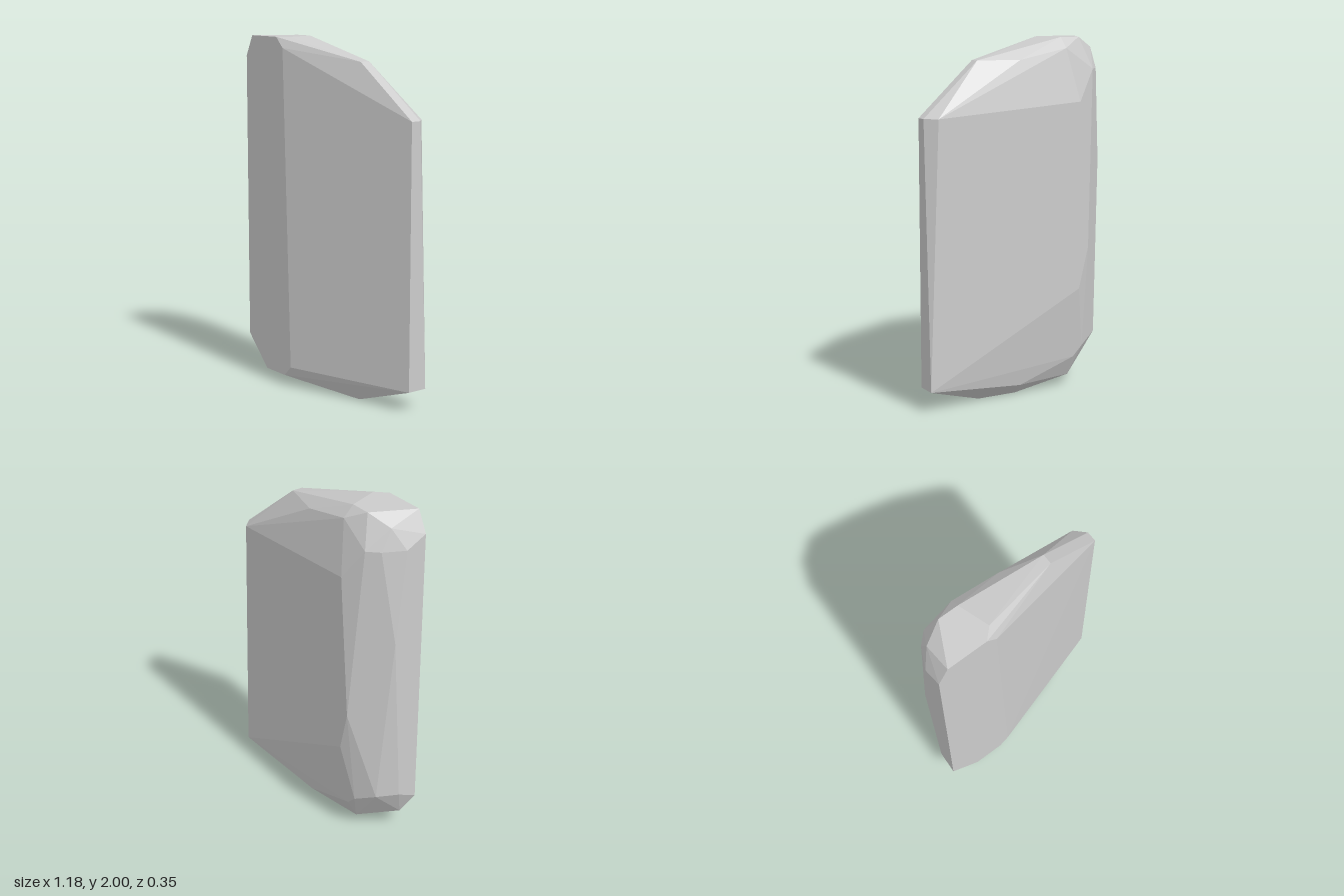
import * as THREE from 'three';
import { ConvexGeometry } from 'three/addons/geometries/ConvexGeometry.js';

// A faceted stone slab: corners sit on a regular lattice and are wrapped in a convex skin.
const CELL = 1 / 17;

// Flat crown and the slope falling away to the left
const crown = [
  [-9, 34, 3], [-5, 34, 3], [-4, 34, 2], [-5, 34, -1], [-7, 34, -1],
  [4, 32, 0], [4, 32, -1], [-4, 33, 3],
];

// Chamfers between crown, back and thick side
const upperChamfer = [
  [-10, 32, 3], [-9, 33, 0], [-10, 31, 1], [-9, 31, -1], [-8, 31, -2],
  [-5, 33, -2], [0, 32, -2],
];

// Thin edge on the left
const thinEdge = [
  [10, 27, -1], [10, 27, -2], [9, 27, -3], [10, 2, -1], [10, 2, -3],
];

// Back face and thick side
const backAndSide = [
  [-6, 28, -3], [-7, 14, -3], [-6, 10, -3], [-10, 22, 0],
  [-10, 5, 1], [-10, 4, 3], [-9, 5, -1],
];

// Rounded-off foot
const foot = [
  [-9, 2, 2], [-7, 1, 3], [-4, 1, 3], [-3, 2, 3], [-7, 4, -2], [-6, 3, -2],
  [-6, 1, -1], [0, 1, -2], [0, 0, -1], [4, 0, 0], [4, 0, -1],
];

export function createModel() {
  const points = [crown, upperChamfer, thinEdge, backAndSide, foot]
    .flat()
    .map(([x, y, z]) => new THREE.Vector3(x, y, z).multiplyScalar(CELL));

  const slab = new THREE.Mesh(
    new ConvexGeometry(points),
    new THREE.MeshStandardMaterial({ color: 0xcccccc, flatShading: true }),
  );
  slab.name = 'stoneSlab';

  const group = new THREE.Group();
  group.name = 'stone';
  group.add(slab);
  return group;
}
